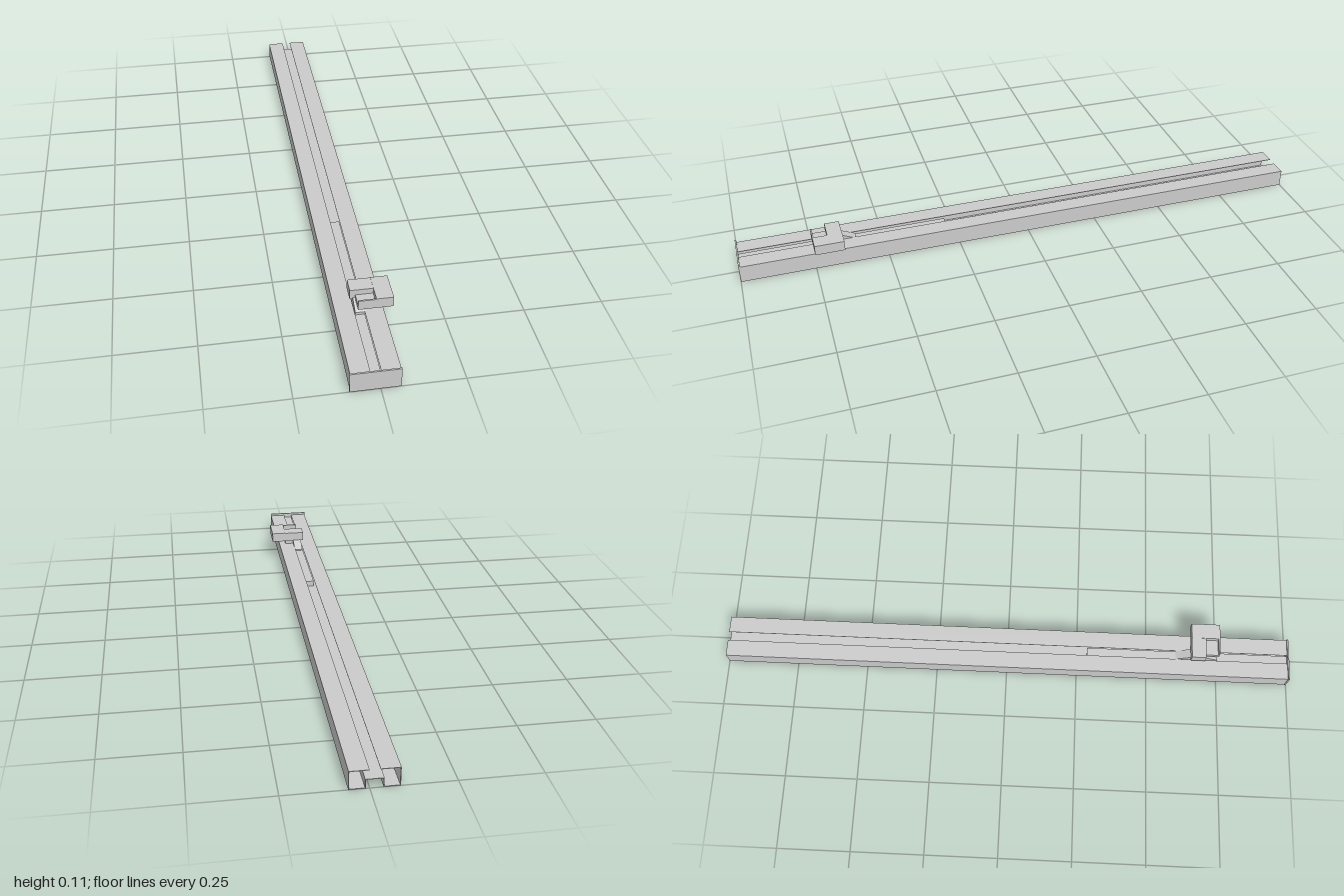
import * as THREE from 'three';

const material = new THREE.MeshStandardMaterial({ color: 0xcccccc, flatShading: true, side: THREE.DoubleSide });

// Box given by its limits on each axis
function box(name, [x0, x1], [y0, y1], [z0, z1]) {
  const mesh = new THREE.Mesh(new THREE.BoxGeometry(x1 - x0, y1 - y0, z1 - z0), material);
  mesh.position.set((x0 + x1) / 2, (y0 + y1) / 2, (z0 + z1) / 2);
  mesh.name = name;
  return mesh;
}

function extrude(name, points, depth) {
  const shape = new THREE.Shape(points.map(([x, y]) => new THREE.Vector2(x, y)));
  const mesh = new THREE.Mesh(new THREE.ExtrudeGeometry(shape, { depth, bevelEnabled: false }), material);
  mesh.name = name;
  return mesh;
}

export function createModel() {
  const model = new THREE.Group();
  model.name = 'slidingRail';

  // Folded sheet rail: slotted top, two walls, floor with a raised middle
  const t = 0.002, W = 0.0735, H = 0.06, slot = 0.0155, rib = 0.025, ribTop = 0.028;
  const mirror = (pts) => pts.map(([x, y]) => [-x, y]).reverse();
  const outer = [[slot, H], [W, H], [W, 0], [rib, 0], [rib, ribTop]];
  const inner = [[rib + t, ribTop + t], [rib + t, t], [W - t, t], [W - t, H - t], [slot, H - t]];
  const rail = extrude('rail', [...outer, ...mirror(outer), ...mirror(inner), ...inner], 1.995);
  rail.position.set(-0.014, 0, -1);
  model.add(rail);

  // Filler strip in the front part of the slot, and the end plate
  model.add(box('slotFiller', [-0.0295, 0.0015], [0.031, 0.051], [0.285, 0.995]));
  model.add(box('endPlate', [-0.09, 0.06], [0, 0.068], [0.995, 1]));

  // Carriage: stepped grip with a recessed front corner
  const carriage = new THREE.Group();
  carriage.name = 'carriage';
  carriage.add(
    box('gripSide', [0.035, 0.088], [0.075, 0.11], [0.65, 0.75]),
    box('gripRear', [-0.037, 0.035], [0.075, 0.109], [0.65, 0.7]),
    box('recessFloor', [-0.02, 0.035], [0.075, 0.09], [0.7, 0.745]),
    box('recessLip', [-0.02, 0.035], [0.075, 0.108], [0.745, 0.75])
  );

  // Sloped foot joining the grip to the slot; the profile runs along z
  const foot = extrude('foot', [[-0.6, 0.051], [-0.6, 0.055], [-0.655, 0.08], [-0.7, 0.08], [-0.745, 0.06], [-0.745, 0.051]], 0.031);
  foot.rotation.y = Math.PI / 2;
  foot.position.x = -0.0275;
  carriage.add(foot, box('footPad', [0.0035, 0.035], [0.06, 0.076], [0.66, 0.7]));
  model.add(carriage);

  return model;
}
